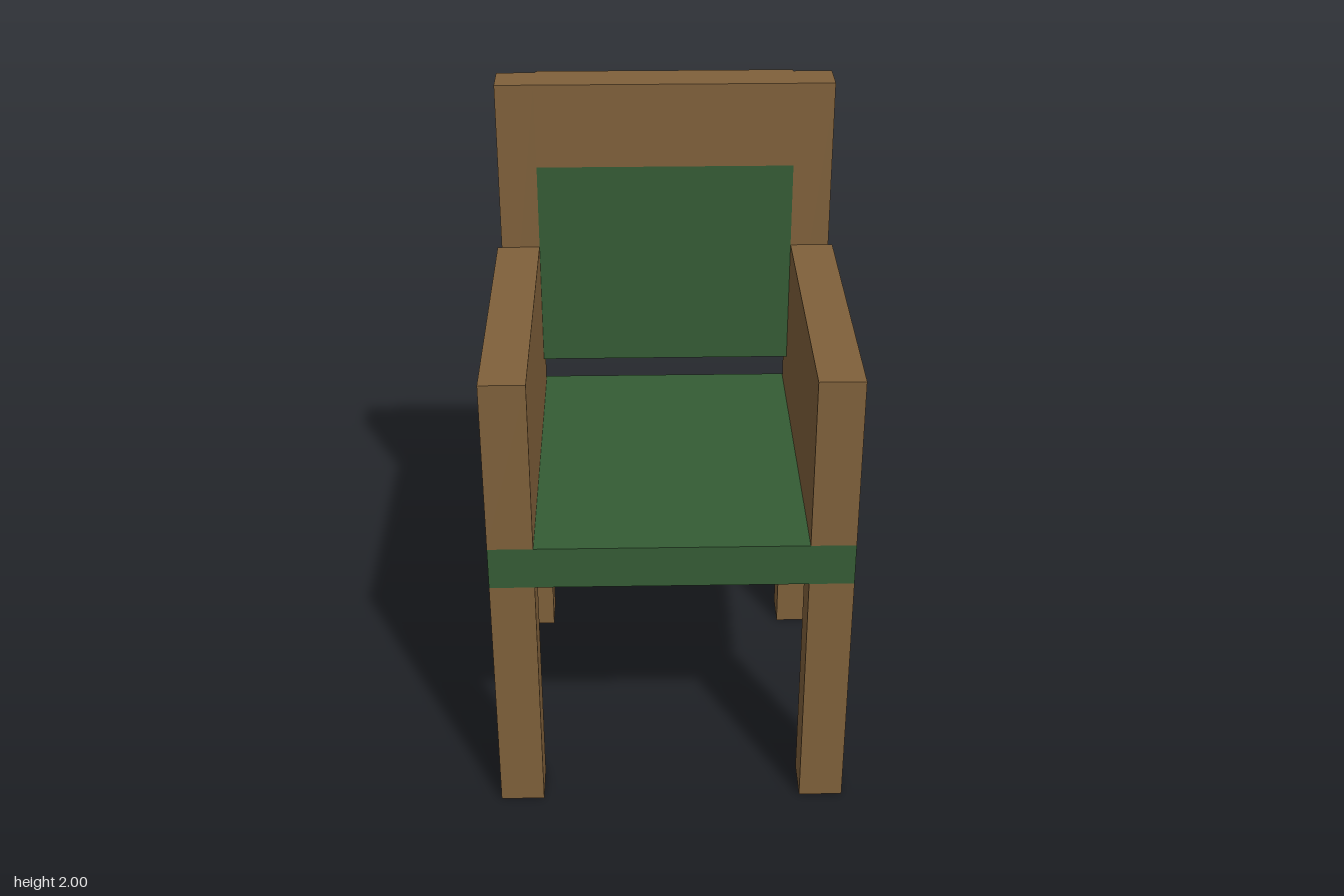
import * as THREE from 'three';

export function createModel() {
  const chair = new THREE.Group();
  chair.name = 'armchair';

  const wood = new THREE.MeshStandardMaterial({ color: 0x80613b, side: THREE.DoubleSide });
  wood.name = 'brown wood';
  const fabric = new THREE.MeshStandardMaterial({ color: 0x355c35 });
  fabric.name = 'green fabric';

  // Box given by its minimum and maximum corners, optionally open underneath
  function block(name, material, [x0, y0, z0], [x1, y1, z1], openBottom = false) {
    const geometry = new THREE.BoxGeometry(x1 - x0, y1 - y0, z1 - z0);
    geometry.translate((x0 + x1) / 2, (y0 + y1) / 2, (z0 + z1) / 2);
    if (openBottom) {
      const index = Array.from(geometry.index.array);
      index.splice(18, 6); // downward face
      geometry.setIndex(index);
    }
    geometry.clearGroups();
    const mesh = new THREE.Mesh(geometry, material);
    mesh.name = name;
    chair.add(mesh);
  }

  const outer = 0.533, inner = 0.4, post = 0.52;
  const seatBottom = 0.8, seatTop = 0.933;

  // Seat
  block('seat', fabric, [-outer, seatBottom, -outer], [outer, seatTop, outer]);

  // Legs, arms and back posts, mirrored left and right
  for (const [side, s] of [['left', 1], ['right', -1]]) {
    const span = (a, b) => (s > 0 ? [a, b] : [-b, -a]);
    const [a0, a1] = span(inner, outer);
    const [p0, p1] = span(inner, post);
    block(side + 'FrontLeg', wood, [a0, 0, inner], [a1, seatBottom, outer], true);
    block(side + 'BackLeg', wood, [p0, 0, -post], [p1, seatBottom, -inner], true);
    block(side + 'Arm', wood, [a0, seatTop, -inner], [a1, 1.467, outer]);
    block(side + 'BackPost', wood, [p0, seatTop, -post], [p1, 2, -inner]);
  }

  // Backrest: wooden top rail above an upholstered panel
  block('topRail', wood, [-inner, 1.735, -outer], [inner, 2, -inner]);
  block('backPanel', fabric, [-inner, 1.067, -outer], [inner, 1.735, -inner]);

  return chair;
}
